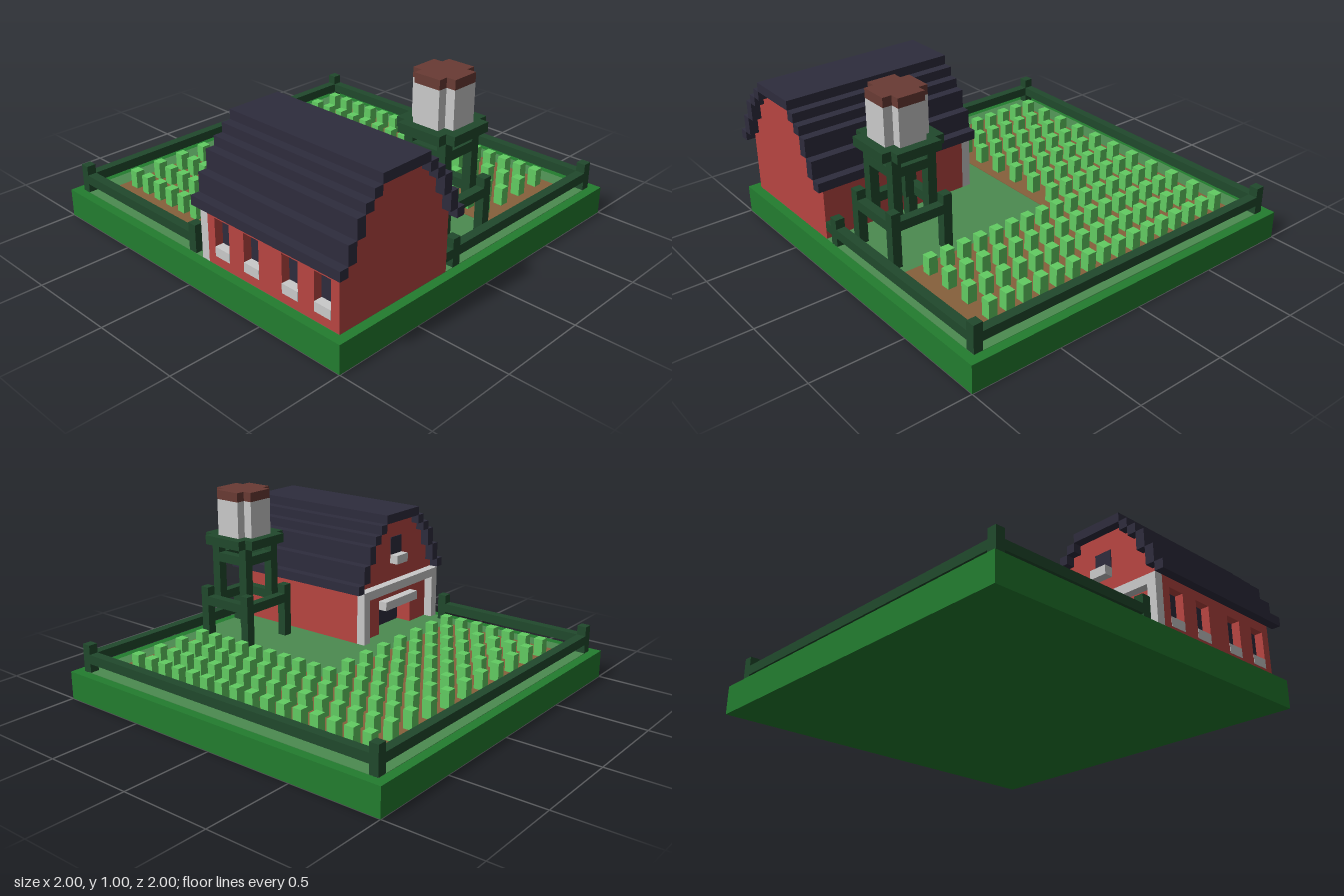
import * as THREE from 'three';

const mat = (name, color) => {
  const m = new THREE.MeshStandardMaterial({ color });
  m.name = name;
  return m;
};

export function createModel() {
  const M = {
    base: mat('deepGreen', 0x237d2f),
    grass: mat('grassGreen', 0x4c8b50),
    soil: mat('soilBrown', 0x86603c),
    crop: mat('cropGreen', 0x62cc62),
    timber: mat('darkGreenTimber', 0x20492c),
    roof: mat('slate', 0x2e2c3d),
    barn: mat('barnRed', 0xb84541),
    trim: mat('paleGrey', 0xcacaca),
    cap: mat('rustBrown', 0x693b34),
  };
  const model = new THREE.Group();
  model.name = 'farm';
  const group = (name) => {
    const g = new THREE.Group();
    g.name = name;
    model.add(g);
    return g;
  };
  const add = (parent, name, geo, m) => {
    const mesh = new THREE.Mesh(geo, m);
    mesh.name = name;
    parent.add(mesh);
    return mesh;
  };
  // Box given by its minimum and maximum on each axis
  const box = (parent, name, m, x0, x1, y0, y1, z0, z1) => {
    const mesh = add(parent, name, new THREE.BoxGeometry(x1 - x0, y1 - y0, z1 - z0), m);
    mesh.position.set((x0 + x1) / 2, (y0 + y1) / 2, (z0 + z1) / 2);
    return mesh;
  };
  const shapeOf = (pts) => new THREE.Shape(pts.map(([a, b]) => new THREE.Vector2(a, b)));
  const rectHole = (a0, a1, b0, b1) =>
    new THREE.Path([[a0, b0], [a0, b1], [a1, b1], [a1, b0]].map(([a, b]) => new THREE.Vector2(a, b)));
  const extrude = (shape, depth) => new THREE.ExtrudeGeometry(shape, { depth, bevelEnabled: false });
  // Extrude a (z, y) outline along x
  const alongX = (shape, x0, x1) =>
    extrude(shape, x1 - x0).rotateY(-Math.PI / 2).translate(x1, 0, 0);

  // Ground
  const ground = group('ground');
  box(ground, 'baseSlab', M.base, -1, 1, 0, 0.15, -1, 1);
  box(ground, 'grass', M.grass, -0.95, 0.95, 0.149, 0.152, -0.95, 0.95);
  box(ground, 'backField', M.soil, -0.85, 0.85, 0.149, 0.155, -0.85, -0.25);
  box(ground, 'sideField', M.soil, -0.85, -0.1, 0.149, 0.155, -0.25, 0.85);

  // Crops: four long rows at the back, seven short rows beside the barn
  const crops = group('crops');
  for (let r = 0; r < 11; r++) {
    const z = -0.8 + r * 0.15;
    for (let c = 0; c < (r < 4 ? 16 : 7); c++) {
      const x = -0.8 + c * 0.1;
      box(crops, 'crop', M.crop, x, x + 0.05, 0.15, 0.25, z, z + 0.05);
    }
  }

  // Fence
  const fence = group('fence');
  for (const [x, z] of [[-0.95, -0.95], [0.9, -0.95], [-0.95, 0.9], [-0.05, 0.9], [0.9, 0.15]])
    box(fence, 'fencePost', M.timber, x, x + 0.05, 0.15, 0.3, z, z + 0.05);
  box(fence, 'backRail', M.timber, -0.9, 0.9, 0.2, 0.25, -0.95, -0.9);
  box(fence, 'rightRail', M.timber, -0.95, -0.9, 0.2, 0.25, -0.9, 0.9);
  box(fence, 'frontRail', M.timber, -0.9, -0.05, 0.2, 0.25, 0.9, 0.95);
  box(fence, 'leftRail', M.timber, 0.9, 0.95, 0.2, 0.25, -0.9, 0.15);
  box(fence, 'leftRailEnd', M.timber, 0.9, 0.95, 0.2, 0.25, 0.2, 0.25);

  // Barn walls: stepped outline, half width and top height of each step
  const barn = group('barn');
  const mid = 0.6;
  const steps = [[0.35, 0.5], [0.3, 0.6], [0.25, 0.7], [0.2, 0.75], [0.15, 0.8]];
  const outline = (frontInset) => {
    const right = [];
    let y = 0.15;
    for (const [w, top] of steps) {
      right.push([w, y], [w, top]);
      y = top;
    }
    const left = right.map(([w, h]) => [mid - w, h]).reverse();
    return shapeOf([...right.map(([w, h]) => [mid + Math.min(w, 0.35 - frontInset), h]), ...left]);
  };
  add(barn, 'barnBody', alongX(outline(0.05), 0.2, 0.95), M.barn);
  const gable = outline(0.05);
  gable.holes.push(rectHole(0.45, 0.75, 0.1501, 0.3));
  add(barn, 'doorGable', alongX(gable, 0.1, 0.2), M.barn);
  box(barn, 'doorway', M.roof, 0.192, 0.199, 0.152, 0.3, 0.45, 0.75);

  // Front wall with recessed windows and sills
  const wall = shapeOf([[0.1, 0.15], [0.95, 0.15], [0.95, 0.5], [0.1, 0.5]]);
  for (const x of [0.15, 0.35, 0.6, 0.8]) {
    wall.holes.push(rectHole(x, x + 0.1, 0.2, 0.4));
    box(barn, 'windowPane', M.roof, x, x + 0.1, 0.25, 0.4, 0.899, 0.905);
    box(barn, 'windowSill', M.trim, x, x + 0.1, 0.2, 0.25, 0.9, 0.952);
  }
  add(barn, 'frontWall', extrude(wall, 0.05).translate(0, 0, 0.9), M.barn);

  // Door frame, lintel and loft window
  for (const z of [0.25, 0.9]) box(barn, 'doorPost', M.trim, 0.05, 0.1, 0.15, 0.45, z, z + 0.05);
  box(barn, 'doorBeam', M.trim, 0.05, 0.1, 0.4, 0.45, 0.3, 0.9);
  box(barn, 'doorLintel', M.trim, 0.05, 0.1, 0.3, 0.35, 0.45, 0.75);
  box(barn, 'loftSill', M.trim, 0.05, 0.1, 0.55, 0.6, 0.55, 0.65);
  box(barn, 'loftWindow', M.roof, 0.095, 0.102, 0.6, 0.7, 0.55, 0.65);

  // Stepped roof shell: inner half width, bottom and top of each course
  const roof = group('roof');
  const courses = [[0.35, 0.45, 0.5], [0.3, 0.5, 0.6], [0.25, 0.6, 0.7], [0.2, 0.7, 0.75], [0.15, 0.75, 0.8]];
  for (const [w, y0, y1] of courses) {
    box(roof, 'roofCourse', M.roof, 0.05, 1, y0, y1, mid + w, mid + w + 0.05);
    box(roof, 'roofCourse', M.roof, 0.05, 1, y0, y1, mid - w - 0.05, mid - w);
  }
  box(roof, 'roofRidge', M.roof, 0.05, 1, 0.8, 0.85, 0.45, 0.75);

  // Water tower
  const tower = group('waterTower');
  const cx = 0.675, cz = -0.025;
  // Square slab of half width h with its corners notched
  const notched = (name, m, h, y0, y1) => {
    const n = h - 0.05;
    const s = shapeOf([[h, -n], [h, n], [n, n], [n, h], [-n, h], [-n, n],
      [-h, n], [-h, -n], [-n, -n], [-n, -h], [n, -h], [n, -n]]);
    add(tower, name, extrude(s, y1 - y0).rotateX(-Math.PI / 2), m).position.set(cx, y0, cz);
  };
  // Four legs joined by a ring of beams
  const frame = (name, h, y0, y1, ringY) => {
    const n = h - 0.05;
    for (const sx of [-1, 1])
      for (const sz of [-1, 1]) {
        const x = cx + sx * (h - 0.025), z = cz + sz * (h - 0.025);
        box(tower, name + 'Leg', M.timber, x - 0.025, x + 0.025, y0, y1, z - 0.025, z + 0.025);
      }
    for (const s of [-1, 1]) {
      const x = cx + s * (h - 0.025), z = cz + s * (h - 0.025);
      box(tower, name + 'Beam', M.timber, x - 0.025, x + 0.025, ringY, ringY + 0.05, cz - n, cz + n);
      box(tower, name + 'Beam', M.timber, cx - n, cx + n, ringY, ringY + 0.05, z - 0.025, z + 0.025);
    }
  };
  frame('lower', 0.175, 0.15, 0.45, 0.35);
  frame('upper', 0.125, 0.35, 0.7, 0.6);
  notched('platform', M.timber, 0.175, 0.7, 0.75);
  notched('tank', M.trim, 0.125, 0.75, 0.95);
  notched('tankCap', M.cap, 0.125, 0.95, 1);

  return model;
}
